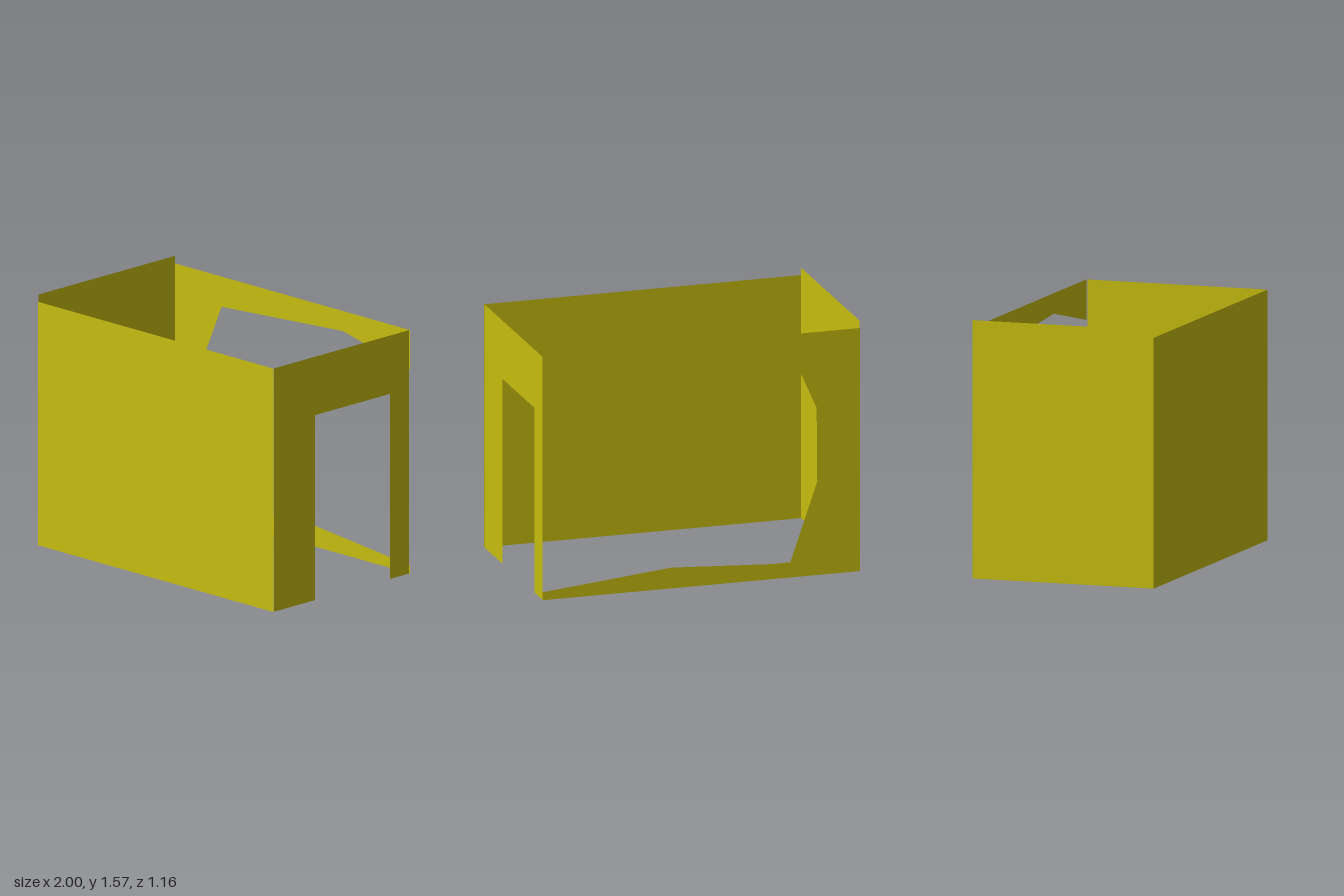
import * as THREE from 'three';

const material = new THREE.MeshStandardMaterial({ color: 0xc8be10, side: THREE.DoubleSide });

// Flat sheet cut to an outline in its own plane
function panel(name, points) {
  const shape = new THREE.Shape(points.map(([a, b]) => new THREE.Vector2(a, b)));
  const mesh = new THREE.Mesh(new THREE.ShapeGeometry(shape), material);
  mesh.name = name;
  return mesh;
}

export function createModel() {
  const group = new THREE.Group();
  group.name = 'openRoom';
  const W = 1, D = 0.578, H = 1.522, tall = 1.568;

  // Plain front wall
  const front = panel('frontWall', [[-W, 0], [W, 0], [W, H], [-W, H]]);
  front.position.z = D;

  // Back wall with a ragged opening that runs out through its +x edge
  const back = panel('brokenBackWall', [
    [W, 0], [W, 0.05], [0.19, 0.13], [-0.43, 0.095], [-0.56, 0.095],
    [-0.73, 0.585], [-0.726, 1.046], [-0.6, 1.333], [0.43, 1.397],
    [W, 1.275], [W, H], [-W, H], [-W, 0],
  ]);
  back.position.z = -D;

  // Doorway wall: shape x runs towards -z
  const door = panel('doorwayWall', [
    [-0.572, 0], [-0.222, 0], [-0.222, 1.157], [0.412, 1.157], [0.412, 0],
    [0.572, 0], [0.572, H], [-0.572, H],
  ]);
  door.rotation.y = Math.PI / 2;
  door.position.x = W - 0.003;

  // Slightly taller plain end wall
  const end = panel('endWall', [[-D, 0], [D, 0], [D, tall], [-D, tall]]);
  end.rotation.y = -Math.PI / 2;
  end.position.x = -W + 0.003;

  group.add(front, back, door, end);
  return group;
}
